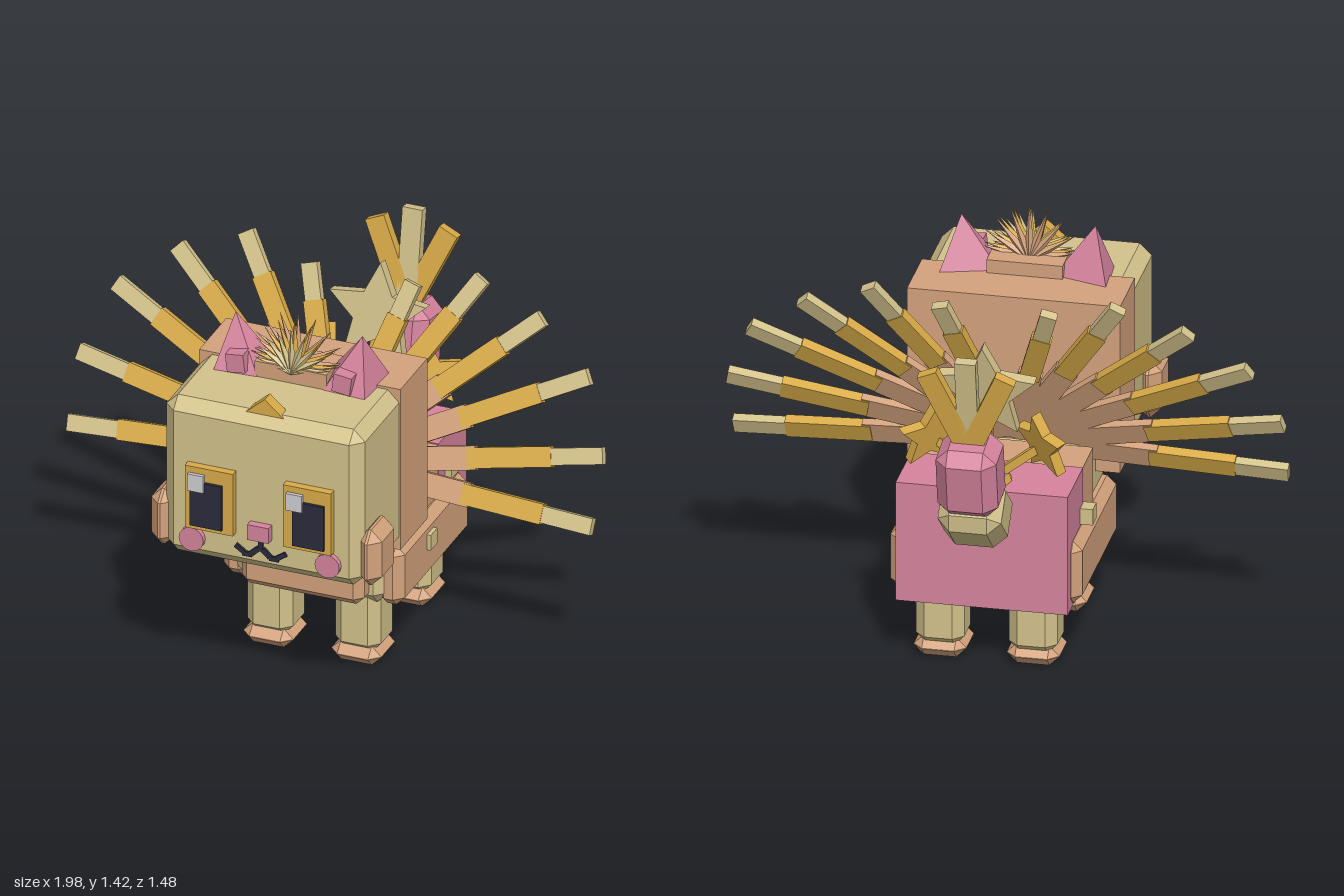
import * as THREE from 'three';
import { ConvexGeometry } from 'three/addons/geometries/ConvexGeometry.js';

const mat = (name, color) => {
  const m = new THREE.MeshStandardMaterial({ color, flatShading: true });
  m.name = name;
  return m;
};

export function createModel() {
  const root = new THREE.Group();
  root.name = 'spikyCreature';
  const cream = mat('cream', 0xd3c28b), tan = mat('tan', 0xd3a27c), pink = mat('pink', 0xd5839d);
  const gold = mat('gold', 0xd9ab48), dark = mat('dark', 0x2b2b3c), white = mat('paleGrey', 0xcfcfd2);

  const add = (name, geo, material, x = 0, y = 0, z = 0, parent = root) => {
    const m = new THREE.Mesh(geo, material);
    m.name = name;
    m.position.set(x, y, z);
    parent.add(m);
    return m;
  };
  const box = (name, material, w, h, d, x, y, z, parent) =>
    add(name, new THREE.BoxGeometry(w, h, d), material, x, y, z, parent);

  // Box with every edge cut at 45 degrees
  const chamfer = (name, material, w, h, d, c, x, y, z, parent) => {
    const pts = [];
    for (const i of [-1, 1]) for (const j of [-1, 1]) for (const k of [-1, 1]) {
      const X = w / 2, Y = h / 2, Z = d / 2;
      pts.push(new THREE.Vector3(i * X, j * (Y - c), k * (Z - c)));
      pts.push(new THREE.Vector3(i * (X - c), j * Y, k * (Z - c)));
      pts.push(new THREE.Vector3(i * (X - c), j * (Y - c), k * Z));
    }
    return add(name, new ConvexGeometry(pts), material, x, y, z, parent);
  };

  const star = (r, depth) => {
    const s = new THREE.Shape();
    for (let i = 0; i < 10; i++) {
      const a = Math.PI / 2 + i * Math.PI / 5, q = i % 2 ? r * 0.48 : r;
      s[i ? 'lineTo' : 'moveTo'](Math.cos(a) * q, Math.sin(a) * q);
    }
    s.closePath();
    return new THREE.ExtrudeGeometry(s, { depth, bevelEnabled: false }).translate(0, 0, -depth / 2);
  };

  // Body
  chamfer('chestBody', cream, 0.58, 0.42, 0.4, 0.045, 0, 0.465, 0.07);
  box('middleBody', tan, 0.605, 0.445, 0.2, 0, 0.458, -0.1);
  box('rump', pink, 0.61, 0.45, 0.255, 0, 0.46, -0.308);
  chamfer('chestPlate', tan, 0.46, 0.33, 0.12, 0.03, 0, 0.445, 0.28);
  for (const s of [-1, 1]) chamfer('sidePlate', tan, 0.1, 0.235, 0.63, 0.033, s * 0.29, 0.365, -0.075);

  // Small raised studs
  box('stud', cream, 0.03, 0.06, 0.06, 0.34, 0.4, -0.02);
  box('stud', cream, 0.05, 0.06, 0.06, 0.305, 0.55, -0.27);
  box('stud', cream, 0.06, 0.06, 0.06, -0.32, 0.52, -0.2);
  box('stud', cream, 0.06, 0.05, 0.06, 0.12, 0.685, -0.245);

  // Legs and feet
  for (const x of [-0.165, 0.165]) for (const z of [0.157, -0.3]) {
    chamfer('leg', cream, 0.172, 0.27, 0.176, 0.036, x, 0.18, z);
    chamfer('foot', tan, 0.187, 0.074, 0.195, 0.036, x, 0.037, z + 0.007);
  }

  // Head
  chamfer('head', cream, 0.745, 0.615, 0.57, 0.043, 0, 0.863, 0.405);
  box('headBack', tan, 0.755, 0.635, 0.245, 0, 0.863, 0.217);
  for (const s of [-1, 1]) {
    chamfer('cheekTuft', tan, 0.09, 0.218, 0.19, 0.04, s * 0.388, 0.672, 0.585);
    box('eyeFrame', gold, 0.18, 0.245, 0.04, s * 0.184, 0.816, 0.7);
    box('pupil', dark, 0.118, 0.175, 0.012, s * 0.192, 0.798, 0.725);
    box('eyeGlint', white, 0.06, 0.066, 0.014, s < 0 ? -0.228 : 0.142, 0.884, 0.732);
    const blush = add('blush', new THREE.CylinderGeometry(0.046, 0.046, 0.03, 16), pink, s * 0.255, 0.643, 0.695);
    blush.rotation.x = Math.PI / 2;
    // Smile, one side
    box('mouth', dark, 0.04, 0.02, 0.012, s * 0.022, 0.638, 0.693).rotation.z = -s * 0.75;
    box('mouth', dark, 0.035, 0.018, 0.012, s * 0.05, 0.622, 0.693);
    box('mouth', dark, 0.04, 0.018, 0.012, s * 0.078, 0.638, 0.693).rotation.z = s * 0.6;
  }
  box('nose', pink, 0.08, 0.06, 0.05, 0, 0.722, 0.695);
  box('mouthLine', dark, 0.016, 0.05, 0.012, 0, 0.668, 0.693);

  // Ears: four sided, leaning outward
  for (const s of [-1, 1]) {
    const corners = [[0.3, 0.235], [0.085, 0.3], [0.12, 0.43], [0.285, 0.44]];
    const pts = corners.map(([x, z]) => new THREE.Vector3(s * x, 1.165, z));
    pts.push(new THREE.Vector3(s * 0.238, 1.365, 0.345));
    add('ear', new ConvexGeometry(pts), pink);
    box('innerEar', pink, 0.068, 0.07, 0.06, s * 0.2, 1.215, 0.415).rotation.z = -s * 0.12;
  }

  // Brow crest
  const crest = new THREE.Shape([[-0.07, 0], [0.07, 0], [0, 0.062]].map(p => new THREE.Vector2(...p)));
  add('crest', new THREE.ExtrudeGeometry(crest, { depth: 0.048, bevelEnabled: false }), gold, 0, 1.162, 0.61);

  // Hair tuft: three fans of thin spikes
  box('tuftBase', tan, 0.27, 0.06, 0.15, 0, 1.2, 0.35);
  [[cream, 0.41, 0.17, 0.06], [gold, 0.385, 0.2, 0], [tan, 0.36, 0.215, -0.03]].forEach(([m, z, len, lean]) => {
    const fan = new THREE.Group();
    fan.name = 'tuftFan';
    fan.position.set(0, 1.21, z);
    fan.rotation.x = lean;
    root.add(fan);
    for (let i = -4; i <= 4; i++) {
      const l = len * (1 - Math.abs(i) * 0.035);
      const geo = new THREE.ConeGeometry(0.022, l, 4).translate(0, l / 2, 0);
      add('tuftSpike', geo, m, 0, 0, 0, fan).rotation.z = -i * 0.34;
    }
  });

  // Back quills: [angle in degrees, length], mirrored, in a plane leaning back
  box('quillHub', tan, 0.2, 0.13, 0.05, 0, 0.695, 0.05);
  const quills = new THREE.Group();
  quills.name = 'quills';
  quills.position.set(0, 0.67, 0.04);
  quills.rotation.x = -0.41;
  root.add(quills);
  const fan = [[-3, 0.985], [11.5, 1.005], [27.5, 1.0], [42.6, 0.93], [58.6, 0.85], [73.7, 0.69]];
  for (const s of [-1, 1]) for (const [deg, len] of fan) {
    const q = new THREE.Group();
    q.name = 'quill';
    const a = THREE.MathUtils.degToRad(deg);
    q.rotation.z = s > 0 ? a : Math.PI - a;
    quills.add(q);
    const part = (name, m, from, to, w, t) =>
      box(name, m, (to - from) * len, w, t, (from + to) / 2 * len, 0, 0, q);
    part('quillRoot', tan, 0.03, 0.53, 0.085, 0.03);
    part('quillShaft', gold, 0.5, 0.81, 0.073, 0.038);
    part('quillTip', cream, 0.79, 1, 0.06, 0.034);
  }

  // Stars on the rump
  add('starBase', new THREE.CylinderGeometry(0.075, 0.09, 0.04, 12), gold, 0, 0.695, -0.34);
  const lean = new THREE.Group();
  lean.name = 'stars';
  root.add(lean);
  const big = add('largeStar', star(0.19, 0.045), cream, 0, 1.04, -0.375, lean);
  big.rotation.x = -0.2;
  box('starStem', gold, 0.04, 0.3, 0.03, 0, 0.82, -0.335, lean).rotation.x = -0.2;
  for (const s of [-1, 1]) {
    const st = add('smallStar', star(0.125, 0.04), gold, s * 0.2, 0.845, -0.355, lean);
    st.rotation.set(-0.25, -s * 0.7, 0, 'YXZ');
    st.rotation.y = s * 0.7;
    const stem = box('starStem', gold, 0.03, 0.22, 0.03, s * 0.1, 0.755, -0.335, lean);
    stem.rotation.z = -s * 0.9;
  }

  // Tail: two blocks and three feathers
  chamfer('tailRoot', cream, 0.225, 0.21, 0.24, 0.045, 0, 0.655, -0.545).rotation.x = 0.72;
  chamfer('tailTip', pink, 0.215, 0.27, 0.215, 0.045, 0, 0.832, -0.622).rotation.x = -0.18;
  const tail = new THREE.Group();
  tail.name = 'tailFeathers';
  tail.position.set(0, 0.93, -0.637);
  tail.rotation.x = -0.17;
  root.add(tail);
  for (const i of [-1, 0, 1]) {
    const l = i ? 0.34 : 0.37;
    const geo = new THREE.BoxGeometry(0.075, l, 0.04).translate(0, l / 2, 0);
    add('tailFeather', geo, i ? gold : cream, 0, 0, 0, tail).rotation.z = -i * 0.42;
  }
  return root;
}
